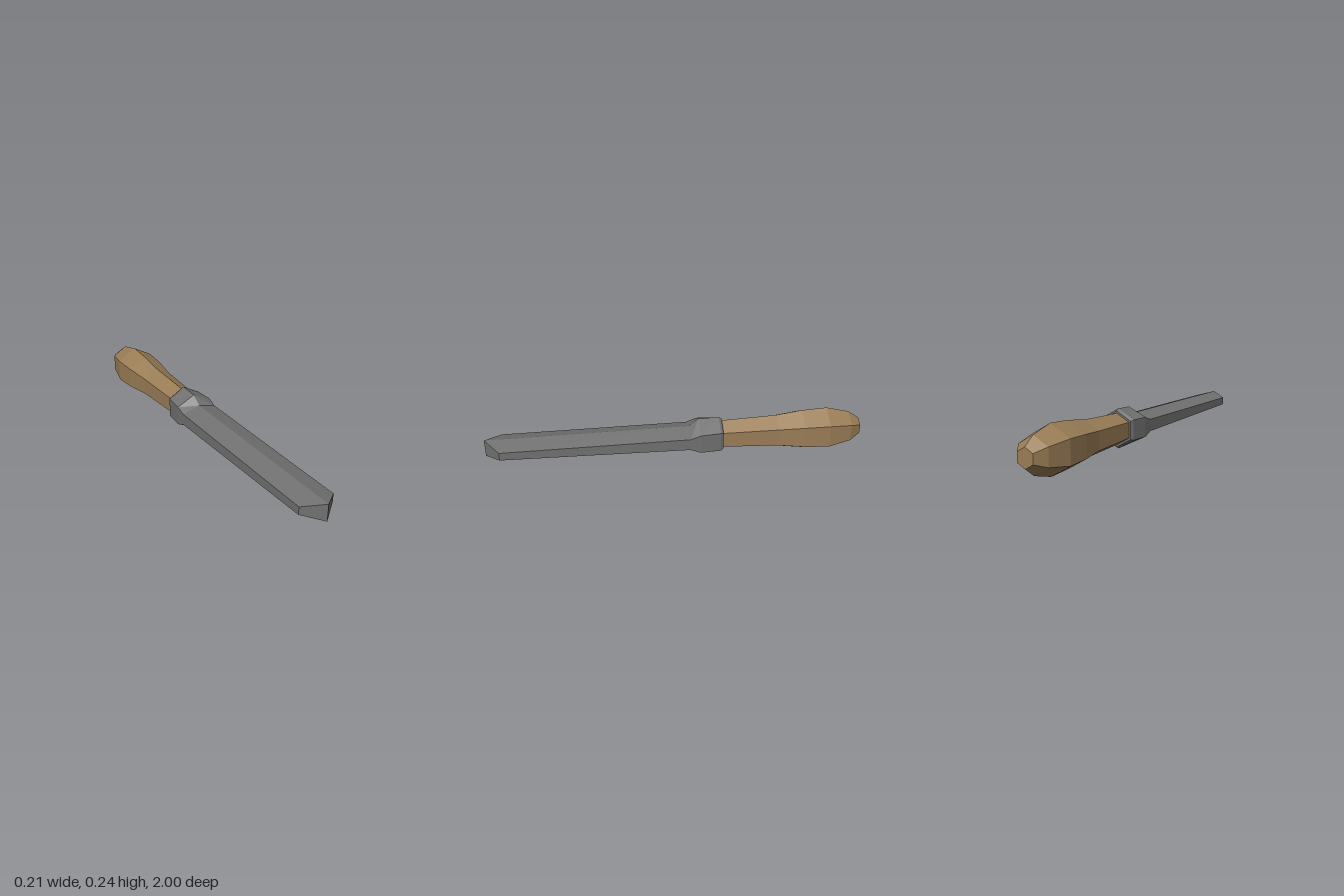
import * as THREE from 'three';

const AXIS_Y = 0.122;

// Six-sided ring, counter-clockwise seen from the front.
// z: position, w: half width, top: ridge height, side: edge height, point: forward push of the ridge
function ring([z, w, top, side, point = 0]) {
  return [
    [0, top, z + point], [-w, side, z], [-w, -side, z],
    [0, -top, z + point], [w, -side, z], [w, side, z],
  ];
}

// Skin a list of sections running from front to back, closed at both ends
function loft(sections) {
  const rings = sections.map(ring);
  const positions = [];
  const tri = (a, b, c) => positions.push(...a, ...b, ...c);
  for (let i = 0; i < rings.length - 1; i++) {
    const a = rings[i], b = rings[i + 1];
    for (let k = 0; k < 6; k++) {
      const n = (k + 1) % 6;
      tri(a[k], b[k], b[n]);
      tri(a[k], b[n], a[n]);
    }
  }
  const front = rings[0], back = rings[rings.length - 1];
  for (let k = 1; k < 5; k++) {
    tri(front[0], front[k], front[k + 1]);
    tri(back[0], back[k + 1], back[k]);
  }
  const geometry = new THREE.BufferGeometry();
  geometry.setAttribute('position', new THREE.Float32BufferAttribute(positions, 3));
  geometry.computeVertexNormals();
  return geometry;
}

export function createModel() {
  const steel = new THREE.MeshStandardMaterial({ color: 0x717171, flatShading: true });
  steel.name = 'steel';
  const wood = new THREE.MeshStandardMaterial({ color: 0x9a7d56, flatShading: true });
  wood.name = 'wood';

  const group = new THREE.Group();
  group.name = 'handTool';
  const add = (name, sections, material) => {
    const mesh = new THREE.Mesh(loft(sections), material);
    mesh.name = name;
    mesh.position.y = AXIS_Y;
    group.add(mesh);
  };

  // Long bar with a wedge tip, flaring into the collar
  add('bladeAndCollar', [
    [0.92, 0.098, 0.046, 0.021, 0.08],
    [-0.065, 0.098, 0.059, 0.031],
    [-0.12, 0.1, 0.099, 0.051],
    [-0.228, 0.09, 0.103, 0.052],
    [-0.243, 0.081, 0.093, 0.046],
  ], steel);

  // Swelling grip, regular hexagon at every section: [z, radius]
  const grip = [
    [-0.235, 0.081], [-0.54, 0.094], [-0.68, 0.114],
    [-0.815, 0.1215], [-0.94, 0.09], [-1, 0.048],
  ];
  add('handle', grip.map(([z, r]) => [z, r * 0.866, r, r / 2]), wood);

  return group;
}
